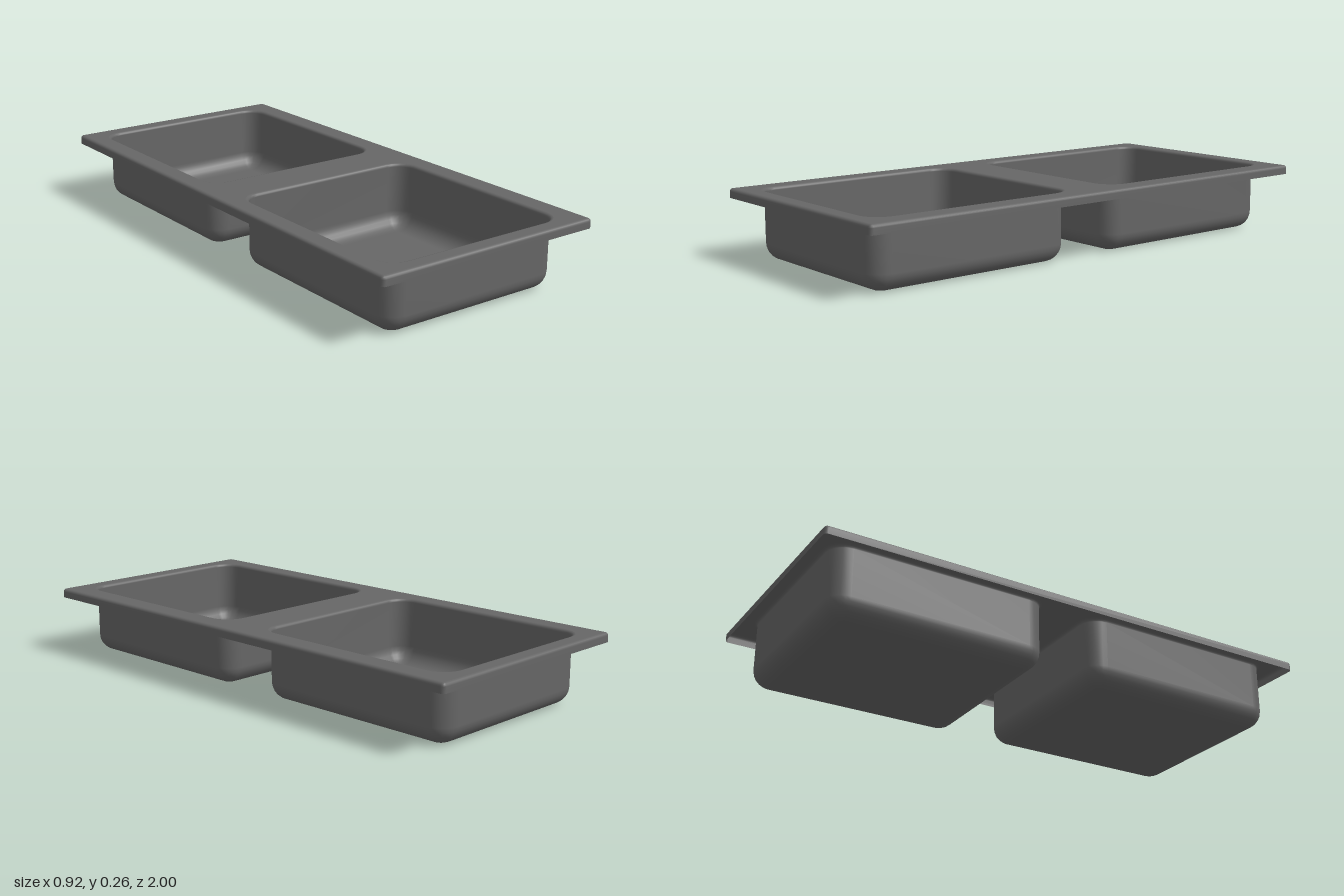
import * as THREE from 'three';

const TOP = 0.257;
const material = new THREE.MeshStandardMaterial({ color: 0x666666, side: THREE.DoubleSide });

// Rounded rectangle outline, counter-clockwise seen from above (y of the point is -z).
function outline(cx, cz, hx, hz, r, steps = 6) {
  const points = [];
  const corners = [[1, 1], [-1, 1], [-1, -1], [1, -1]];
  corners.forEach(([sx, sy], k) => {
    for (let i = 0; i <= steps; i++) {
      const a = (k + i / steps) * Math.PI / 2;
      points.push(new THREE.Vector2(
        cx + sx * (hx - r) + r * Math.cos(a),
        -cz + sy * (hz - r) + r * Math.sin(a)));
    }
  });
  return points;
}

// Skin over a stack of outlines, running from the outermost to the innermost.
function loft(rings, closeEnd) {
  const n = rings[0].points.length;
  const position = [], index = [];
  for (const { points, y } of rings) for (const p of points) position.push(p.x, y, -p.y);
  for (let k = 0; k < rings.length - 1; k++) {
    for (let j = 0; j < n; j++) {
      const a = k * n + j, b = k * n + (j + 1) % n;
      index.push(a, b, b + n, a, b + n, a + n);
    }
  }
  if (closeEnd) {
    const { points, y } = rings[rings.length - 1];
    const mid = points.reduce((s, p) => s.add(p), new THREE.Vector2()).divideScalar(n);
    const base = (rings.length - 1) * n;
    position.push(mid.x, y, -mid.y);
    for (let j = 0; j < n; j++) index.push(base + j, base + (j + 1) % n, rings.length * n);
  }
  const geometry = new THREE.BufferGeometry();
  geometry.setAttribute('position', new THREE.Float32BufferAttribute(position, 3));
  geometry.setIndex(index);
  geometry.computeVertexNormals();
  return geometry;
}

function addMesh(group, name, geometry) {
  const mesh = new THREE.Mesh(geometry, material);
  mesh.name = name;
  group.add(mesh);
}

export function createModel() {
  const group = new THREE.Group();
  group.name = 'doubleSink';

  // Outline of a bowl, shrunk by an inset
  const bowlRing = (cz, inset) =>
    outline(-0.005, cz, 0.375 - inset, 0.417 - inset, 0.072 - inset);
  const rimRing = (inset) => outline(0, 0, 0.462 - inset, 1 - inset, 0.014 - inset, 3);
  const bowls = [['frontBowl', 0.513], ['backBowl', -0.513]];
  const lip = 0.012, bend = 0.066, edge = 0.012;

  // Flat top with two openings
  const top = new THREE.Shape(rimRing(edge));
  for (const [, cz] of bowls) top.holes.push(new THREE.Path(bowlRing(cz, -lip)));
  const topGeometry = new THREE.ShapeGeometry(top);
  topGeometry.rotateX(-Math.PI / 2).translate(0, TOP, 0);
  addMesh(group, 'topPlate', topGeometry);

  // Down-turned outer rim with a softened upper edge
  const rim = [{ points: rimRing(0), y: 0.222 }];
  for (let i = 0; i <= 4; i++) {
    const a = i / 4 * Math.PI / 2;
    rim.push({ points: rimRing(edge * (1 - Math.cos(a))), y: TOP - edge * (1 - Math.sin(a)) });
  }
  addMesh(group, 'rim', loft(rim, false));

  // Bowls: rolled lip, straight wall, rounded bend and flat floor
  for (const [name, cz] of bowls) {
    const rings = [];
    for (let i = 0; i <= 4; i++) {
      const a = i / 4 * Math.PI / 2;
      rings.push({ points: bowlRing(cz, -lip * (1 - Math.sin(a))), y: TOP - lip * (1 - Math.cos(a)) });
    }
    for (let i = 0; i <= 6; i++) {
      const a = i / 6 * Math.PI / 2;
      rings.push({ points: bowlRing(cz, bend * (1 - Math.cos(a))), y: bend * (1 - Math.sin(a)) });
    }
    addMesh(group, name, loft(rings, true));
  }
  return group;
}
